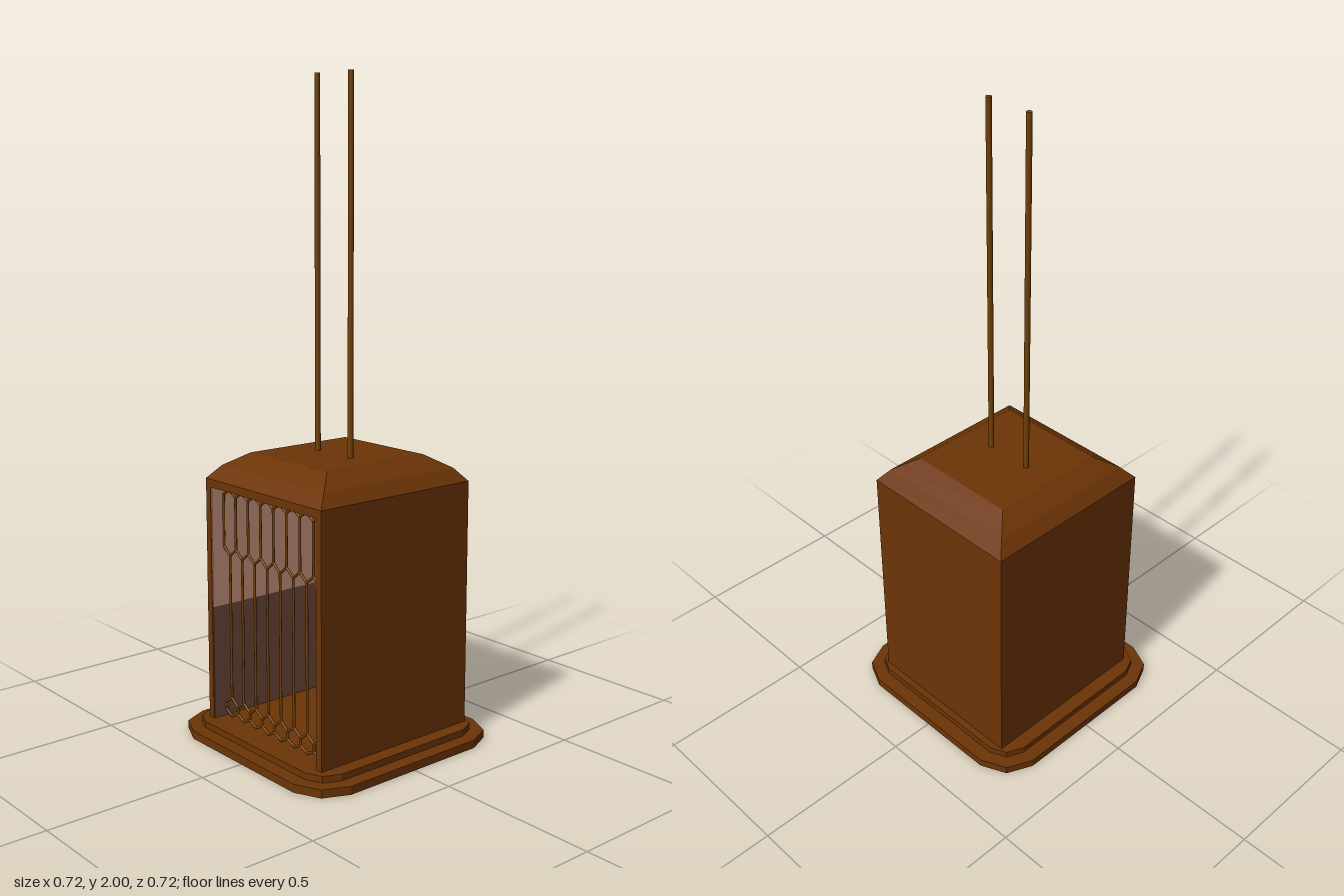
import * as THREE from 'three';

export function createModel() {
  const model = new THREE.Group();
  model.name = 'liftCabin';
  const mat = (name, color) => Object.assign(new THREE.MeshStandardMaterial({ color }), { name });
  const wood = mat('brown wood', 0x6c3405);
  const pink = mat('pink wallpaper', 0xca9580);
  const dark = mat('dark wainscot', 0x6c4738);
  const bronze = mat('bronze metal', 0x6e3f06);

  const add = (name, geometry, material, parent = model) => {
    const mesh = new THREE.Mesh(geometry, material);
    mesh.name = name;
    parent.add(mesh);
    return mesh;
  };
  // box given by its minimum and maximum on each axis
  const box = (name, x0, x1, y0, y1, z0, z1, material = wood) =>
    add(name, new THREE.BoxGeometry(x1 - x0, y1 - y0, z1 - z0), material)
      .position.set((x0 + x1) / 2, (y0 + y1) / 2, (z0 + z1) / 2);

  // stepped base with rounded corners
  const tier = (name, r, c, k, y, h) => {
    const corner = [[r, c], [k, k], [c, r]];
    const points = [];
    for (let q = 0; q < 4; q++) {
      for (const [x, z] of corner) {
        points.push(new THREE.Vector2(x, z).rotateAround(new THREE.Vector2(), q * Math.PI / 2));
      }
    }
    const g = new THREE.ExtrudeGeometry(new THREE.Shape(points), { depth: h, bevelEnabled: false });
    g.rotateX(-Math.PI / 2).translate(0, y, 0);
    add(name, g, wood);
  };
  tier('lowerBase', 0.361, 0.246, 0.325, 0, 0.025);
  tier('upperBase', 0.317, 0.243, 0.294, 0.025, 0.02);

  // cabin shell, open at the front
  const W = 0.272, I = 0.25, back = -0.295, front = 0.28, floor = 0.045, eave = 0.805;
  box('leftWall', I, W, floor, eave, back, front);
  box('rightWall', -W, -I, floor, eave, back, front);
  box('backWall', -I, I, floor, eave, back, back + 0.02);
  box('ceiling', -I, I, 0.78, eave, back + 0.02, front);

  // two-tone wall panels inside
  for (const [label, y0, y1, m] of [['lower', floor, 0.403, dark], ['upper', 0.403, 0.78, pink]]) {
    box(label + 'LeftPanel', I - 0.004, I, y0, y1, back + 0.02, front - 0.002, m);
    box(label + 'RightPanel', -I, -I + 0.004, y0, y1, back + 0.02, front - 0.002, m);
    box(label + 'BackPanel', -I, I, y0, y1, back + 0.02, back + 0.024, m);
  }

  // roof lofted through rectangular sections
  const sections = [[W, back, front, eave], [0.24, -0.261, 0.243, 0.845], [0.179, -0.196, 0.18, 0.885]];
  const rings = sections.map(([x, z0, z1, y]) => [[-x, y, z1], [x, y, z1], [x, y, z0], [-x, y, z0]]);
  const verts = [];
  const quad = (a, b, c, d) => verts.push(...a, ...b, ...c, ...a, ...c, ...d);
  for (let s = 0; s < 2; s++) {
    for (let i = 0; i < 4; i++) {
      const j = (i + 1) % 4;
      quad(rings[s][i], rings[s][j], rings[s + 1][j], rings[s + 1][i]);
    }
  }
  quad(...rings[2]);
  const roof = new THREE.BufferGeometry();
  roof.setAttribute('position', new THREE.Float32BufferAttribute(verts, 3));
  roof.computeVertexNormals();
  add('roof', roof, wood);

  // folding gate: a lattice of stretched hexagons set back in the doorway
  const gate = new THREE.Group();
  gate.name = 'gate';
  gate.position.z = 0.235;
  model.add(gate);
  const bar = (x0, y0, x1, y1) => {
    const length = Math.hypot(x1 - x0, y1 - y0);
    const mesh = add('gateBar', new THREE.CylinderGeometry(0.004, 0.004, length + 0.002, 24, 1, true), bronze, gate);
    mesh.position.set((x0 + x1) / 2, (y0 + y1) / 2, 0);
    mesh.rotation.z = Math.atan2(x0 - x1, y1 - y0);
  };
  const cells = 8, step = 0.492 / cells;
  bar(-0.246, 0.776, 0.246, 0.776);
  for (let i = 0; i <= cells; i++) {
    const x = -0.246 + i * step;
    bar(x, 0.59, x, 0.752);
    bar(x, 0.065, x, 0.088);
    if (i === cells) continue;
    const mid = x + step / 2;
    bar(mid, 0.11, mid, 0.565);
    // zigzags joining the uprights
    for (const [side, peak] of [[0.752, 0.772], [0.59, 0.565], [0.088, 0.11], [0.065, 0.05]]) {
      bar(x, side, mid, peak);
      bar(mid, peak, x + step, side);
    }
  }

  // hoisting cables
  for (const x of [-0.075, 0.075]) {
    add('cable', new THREE.CylinderGeometry(0.0085, 0.0085, 1.12, 24), [bronze, dark, bronze]).position.set(x, 1.44, 0.003);
  }
  return model;
}
